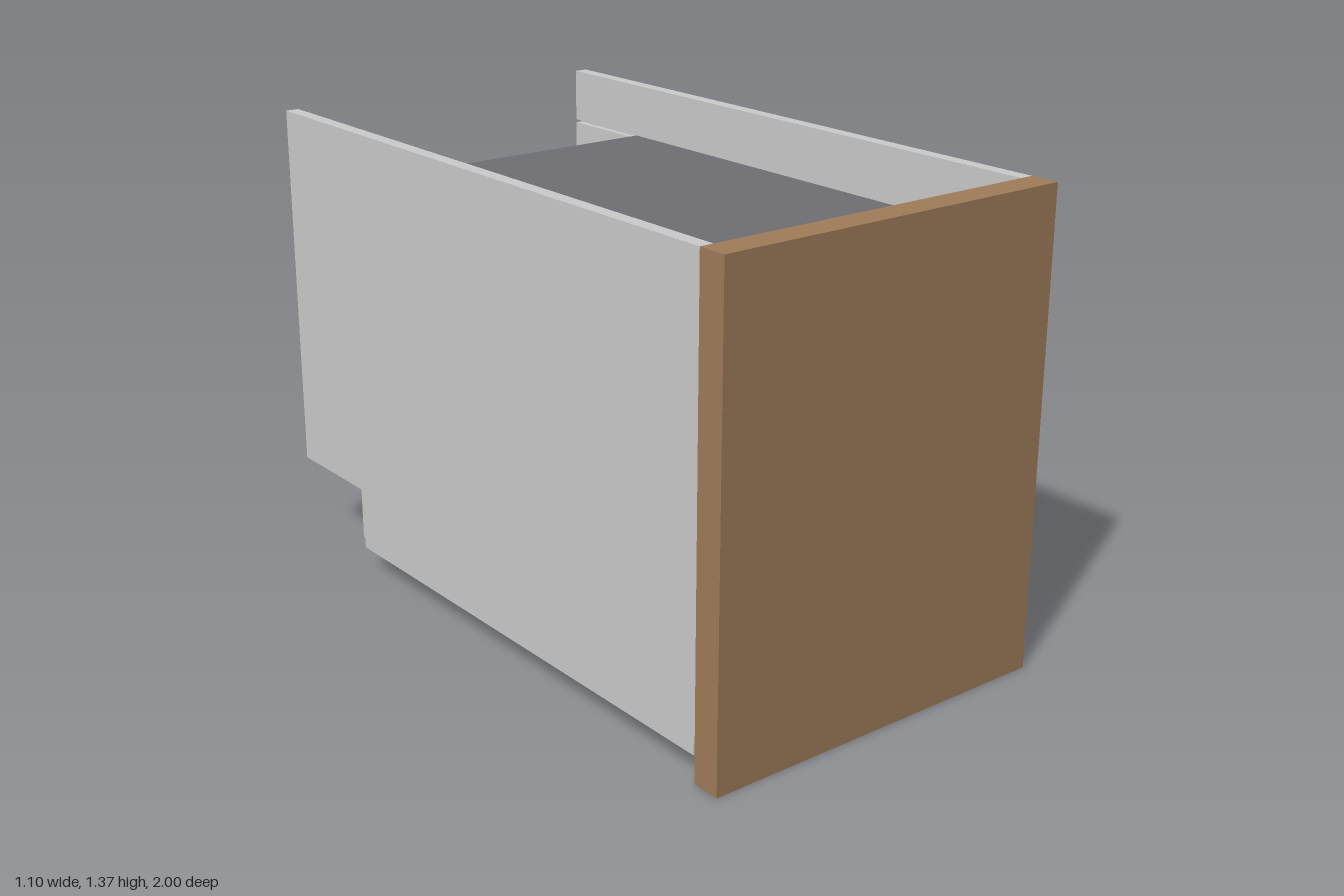
import * as THREE from 'three';

const material = (color) => new THREE.MeshStandardMaterial({ color });

export function createModel() {
  const model = new THREE.Group();
  model.name = 'drawer';
  const grey = material(0xcccccc);
  const wood = material(0xa07c5a);
  const dark = material(0x6e6e73);

  const add = (name, geometry, mat, parent = model) => {
    const mesh = new THREE.Mesh(geometry, mat);
    mesh.name = name;
    parent.add(mesh);
    return mesh;
  };

  // Box given by its limits on each axis
  const box = (name, [x0, x1], [y0, y1], [z0, z1], mat, parent) =>
    add(name, new THREE.BoxGeometry(x1 - x0, y1 - y0, z1 - z0), mat, parent)
      .position.set((x0 + x1) / 2, (y0 + y1) / 2, (z0 + z1) / 2);

  // Side outline in z and y, stepped at the lower rear, extruded between x0 and x1
  const steppedPanel = (name, x0, x1, top, parent) => {
    const outline = [[-1, 0.265], [-0.665, 0.265], [-0.665, 0.11], [0.915, 0.11], [0.915, top], [-1, top]];
    const shape = new THREE.Shape(outline.map(([z, y]) => new THREE.Vector2(z, y)));
    const geometry = new THREE.ExtrudeGeometry(shape, { depth: x1 - x0, bevelEnabled: false });
    geometry.rotateY(-Math.PI / 2).translate(x1, 0, 0);
    add(name, geometry, grey, parent);
  };

  // Wooden front
  box('frontPanel', [-0.55, 0.55], [0, 1.365], [0.915, 1], wood);

  // Side panels: outer layer, and inner layer split by a narrow groove
  for (const s of [1, -1]) {
    const side = new THREE.Group();
    side.name = s > 0 ? 'leftSide' : 'rightSide';
    const [outer, inner] = s > 0 ? [[0.53, 0.55], [0.51, 0.53]] : [[-0.55, -0.53], [-0.53, -0.51]];
    steppedPanel('outerLayer', ...outer, 1.365, side);
    steppedPanel('innerLayer', ...inner, 1.195, side);
    box('innerRail', inner, [1.205, 1.365], [-1, 0.915], grey, side);
    model.add(side);
  }

  // Bottom board and raised rear shelf
  box('bottomBoard', [-0.547, 0.547], [0.075, 0.11], [-0.662, 0.907], grey);
  box('rearShelf', [-0.51, 0.51], [0.265, 0.3], [-1, -0.6], grey);

  // Dark inner compartment, above and below the shelf level
  box('innerCompartment', [-0.51, 0.51], [0.3, 1.205], [-0.677, 0.915], dark);
  box('lowerCompartment', [-0.51, 0.51], [0.11, 0.3], [-0.655, 0.915], dark);

  // Small bar handle under the bottom board
  const handle = new THREE.Group();
  handle.name = 'handle';
  const bar = add('handleBar', new THREE.CylinderGeometry(0.01, 0.01, 0.21, 16), grey, handle);
  bar.rotation.x = Math.PI / 2;
  bar.position.set(0.455, 0.016, 0.705);
  for (const z of [0.76, 0.65]) {
    add('handlePost', new THREE.CylinderGeometry(0.006, 0.006, 0.062, 12), grey, handle)
      .position.set(0.455, 0.047, z);
  }
  model.add(handle);

  return model;
}
